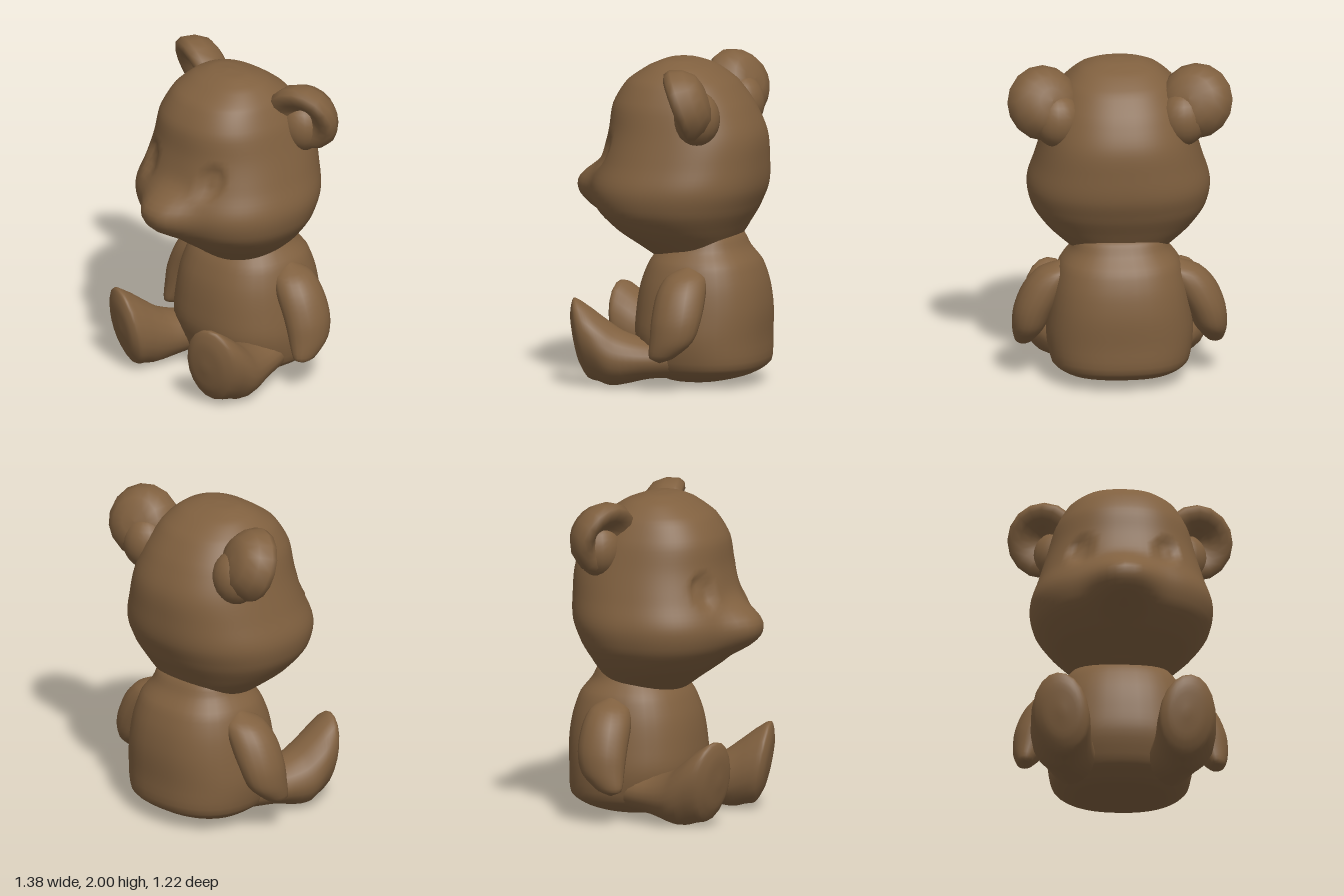
import * as THREE from 'three';
import { mergeVertices } from 'three/addons/utils/BufferGeometryUtils.js';

const fur = new THREE.MeshStandardMaterial({ color: 0x80603f });
const V = (x, y, z) => new THREE.Vector3(x, y, z);

// Smooth closed skin through oval sections [centre, ru, rv]; u x v points along the sections.
function loft(sections, u, v, { rings = 20, segs = 24, power = 2, shape = null } = {}) {
  const centres = new THREE.CatmullRomCurve3(sections.map(s => s[0]), false, 'centripetal');
  const radii = new THREE.CatmullRomCurve3(sections.map((s, i) => V(s[1], s[2], i * 0.1)), false, 'centripetal');
  const pos = [], index = [];
  const bend = c => Math.sign(c) * Math.pow(Math.abs(c), 2 / power);
  for (let i = 0; i <= rings; i++) {
    const c = centres.getPoint(i / rings), r = radii.getPoint(i / rings);
    for (let j = 0; j < segs; j++) {
      const a = (j / segs) * Math.PI * 2;
      const p = c.clone()
        .addScaledVector(u, Math.max(r.x, 0) * bend(Math.cos(a)))
        .addScaledVector(v, Math.max(r.y, 0) * bend(Math.sin(a)));
      if (shape) shape(p);
      pos.push(p.x, p.y, p.z);
      if (i < rings) {
        const k = (j + 1) % segs, b = i * segs, t = b + segs;
        index.push(b + j, b + k, t + k, b + j, t + k, t + j);
      }
    }
  }
  let g = new THREE.BufferGeometry();
  g.setAttribute('position', new THREE.Float32BufferAttribute(pos, 3));
  g.setIndex(index);
  g = mergeVertices(g, 1e-4);
  g.computeVertexNormals();
  return g;
}

// Upright section from height, front z, back z and half width
const slice = ([y, front, back, half]) => [V(0, y, (front + back) / 2), (front - back) / 2, half];
const X = V(1, 0, 0), Y = V(0, 1, 0), Z = V(0, 0, 1);

function part(name, geometry) {
  const m = new THREE.Mesh(geometry, fur);
  m.name = name;
  return m;
}

function makeHead() {
  const sections = [
    [0.74, -0.13, -0.13, 0], [0.78, 0.08, -0.34, 0.22], [0.85, 0.18, -0.385, 0.32],
    [0.95, 0.32, -0.44, 0.44], [1.08, 0.445, -0.515, 0.535], [1.22, 0.48, -0.57, 0.56],
    [1.38, 0.425, -0.58, 0.515], [1.55, 0.38, -0.57, 0.465], [1.72, 0.355, -0.495, 0.415],
    [1.86, 0.27, -0.39, 0.34], [1.95, 0.14, -0.26, 0.24], [1.99, 0.04, -0.14, 0.13],
    [2.0, -0.05, -0.05, 0],
  ].map(slice);
  return loft(sections, Z, X, {
    rings: 60, segs: 80, power: 2.3,
    shape: p => {
      if (p.z < 0.1) return;
      // Blunt snout
      const r = Math.hypot(p.x / 0.185, (p.y - 1.185) / 0.15);
      p.z += 0.13 * Math.exp(-(r ** 3));
      // Oval eye sockets
      const d = Math.hypot((Math.abs(p.x) - 0.262) / 0.08, (p.y - 1.435) / 0.11);
      p.z -= 0.035 * (1 - THREE.MathUtils.smoothstep(d, 0.6, 1.1));
    },
  });
}

function makeBody() {
  const sections = [
    [0.02, -0.2, -0.2, 0], [0.03, -0.02, -0.36, 0.24], [0.065, 0.06, -0.5, 0.34],
    [0.13, 0.14, -0.595, 0.42], [0.3, 0.2, -0.605, 0.45], [0.47, 0.195, -0.61, 0.435],
    [0.62, 0.17, -0.59, 0.41], [0.75, 0.12, -0.545, 0.37], [0.84, 0.05, -0.475, 0.305],
    [0.93, -0.08, -0.42, 0.25], [1.0, -0.25, -0.25, 0],
  ].map(slice);
  return loft(sections, Z, X, { rings: 40, segs: 36, power: 2.35 });
}

function makeArm() {
  return loft([
    [V(0.59, 0.19, -0.13), 0, 0],
    [V(0.585, 0.22, -0.14), 0.075, 0.05],
    [V(0.56, 0.32, -0.195), 0.135, 0.098],
    [V(0.525, 0.45, -0.215), 0.155, 0.125],
    [V(0.45, 0.6, -0.22), 0.152, 0.142],
    [V(0.38, 0.7, -0.225), 0.12, 0.125],
    [V(0.33, 0.77, -0.23), 0, 0],
  ], Z, X, { rings: 24, segs: 18 });
}

function makeLeg() {
  return loft([
    [V(0.18, 0.18, -0.4), 0, 0],
    [V(0.22, 0.18, -0.2), 0.17, 0.115],
    [V(0.305, 0.17, 0.03), 0.172, 0.12],
    [V(0.365, 0.18, 0.2), 0.18, 0.165],
    [V(0.385, 0.215, 0.3), 0.183, 0.21],
    [V(0.388, 0.265, 0.39), 0.18, 0.24],
    [V(0.385, 0.29, 0.455), 0.165, 0.25],
    [V(0.385, 0.285, 0.495), 0.11, 0.16],
    [V(0.385, 0.28, 0.51), 0, 0],
  ], X, Y, {
    rings: 32, segs: 20,
    // Turn the sole outward, tip the toes forward and lean the foot out
    shape: p => {
      const w = THREE.MathUtils.smoothstep(p.z, 0.1, 0.45);
      p.z += w * ((p.y - 0.29) * 0.17 - (p.x - 0.385) * 0.25);
      p.x += w * (p.y - 0.29) * 0.1;
    },
  });
}

// Rounded back, thick rim and shallow dished front
function makeEar() {
  const profile = [
    [0, -0.165], [0.08, -0.16], [0.15, -0.138], [0.205, -0.075], [0.232, 0], [0.22, 0.04],
    [0.185, 0.058], [0.135, 0.045], [0.08, 0.01], [0.04, -0.02], [0, -0.03],
  ].map(([r, h]) => new THREE.Vector2(r, h));
  const g = new THREE.LatheGeometry(profile, 16);
  g.rotateX(Math.PI / 2);
  g.rotateY(0.32);
  g.rotateX(0.38);
  g.translate(0.468, 1.77, -0.235);
  return g;
}

// Swelling where the ear grows out of the head
function makeEarRoot() {
  const g = new THREE.SphereGeometry(1, 20, 14);
  g.scale(0.15, 0.17, 0.14);
  g.translate(0.385, 1.68, -0.3);
  return g;
}

export function createModel() {
  const bear = new THREE.Group();
  bear.name = 'teddyBear';
  bear.add(part('head', makeHead()), part('body', makeBody()));

  const limbs = { Ear: makeEar(), EarRoot: makeEarRoot(), Arm: makeArm(), Leg: makeLeg() };
  for (const [side, sign] of [['left', 1], ['right', -1]]) {
    const half = new THREE.Group();
    half.name = side + 'Side';
    half.scale.x = sign;
    for (const key in limbs) half.add(part(side + key, limbs[key]));
    bear.add(half);
  }
  return bear;
}
